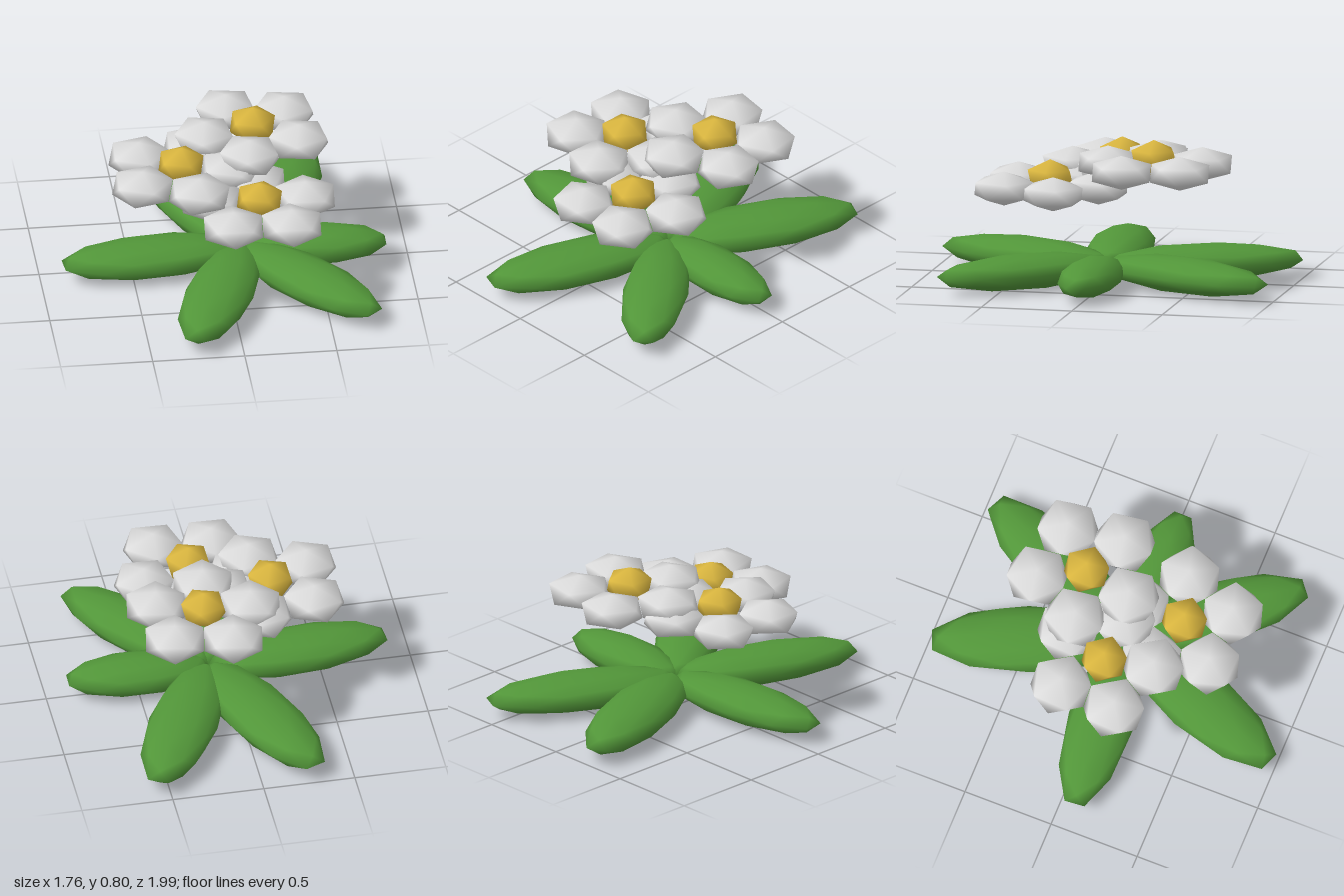
import * as THREE from 'three';

const petalWhite = new THREE.MeshStandardMaterial({ color: 0xdcdcdc });
petalWhite.name = 'petalWhite';
const pollenGold = new THREE.MeshStandardMaterial({ color: 0xdcb840 });
pollenGold.name = 'pollenGold';
const leafGreen = new THREE.MeshStandardMaterial({ color: 0x529639 });
leafGreen.name = 'leafGreen';

// Unit icosphere with a vertex at the top and smooth normals
function icosphere(detail) {
  const geo = new THREE.IcosahedronGeometry(1, detail);
  geo.rotateX(-Math.atan2(1 + Math.sqrt(5), 2));
  geo.rotateY(Math.PI / 2);
  geo.setAttribute('normal', geo.attributes.position.clone());
  return geo;
}

export function createModel() {
  const group = new THREE.Group();
  const coarse = icosphere(0);
  const fine = icosphere(1);
  const rad = THREE.MathUtils.degToRad;

  function blob(parent, name, geo, mat, pos, scale, turn = 0) {
    const mesh = new THREE.Mesh(geo, mat);
    mesh.name = name;
    mesh.position.set(...pos);
    mesh.scale.set(...scale);
    mesh.rotation.y = -turn;
    parent.add(mesh);
  }

  // Leaves fan out from one root: [angle, length, half width]
  const rootX = 0.11;
  const leaves = [
    [1, 0.77, 0.16], [51.5, 1.0, 0.178], [111, 1.04, 0.187],
    [175, 0.99, 0.18], [247.7, 1.055, 0.19], [295.8, 1.055, 0.19],
  ];
  leaves.forEach(([deg, length, width], i) => {
    const a = rad(deg);
    const mid = length / 2;
    blob(group, `leaf${i + 1}`, fine, leafGreen,
      [rootX + Math.cos(a) * mid, 0.097, Math.sin(a) * mid],
      [mid / Math.cos(rad(18)), 0.097, width], a);
  });

  // Flowers: [x, petal height, z, angle of first petal]
  const flowers = [
    [0.19, 0.66, -0.27, 28],
    [-0.23, 0.593, 0, 3],
    [0.16, 0.525, 0.31, 56],
  ];
  flowers.forEach(([x, y, z, start], i) => {
    const flower = new THREE.Group();
    flower.name = `flower${i + 1}`;
    flower.position.set(x, y, z);
    group.add(flower);
    blob(flower, 'flowerCentre', coarse, pollenGold, [0, 0.043, 0], [0.137, 0.1, 0.137]);
    for (let k = 0; k < 5; k++) {
      const a = rad(start + k * 72);
      blob(flower, `petal${k + 1}`, coarse, petalWhite,
        [Math.cos(a) * 0.268, 0, Math.sin(a) * 0.268], [0.184, 0.093, 0.184], a);
    }
  });

  return group;
}
